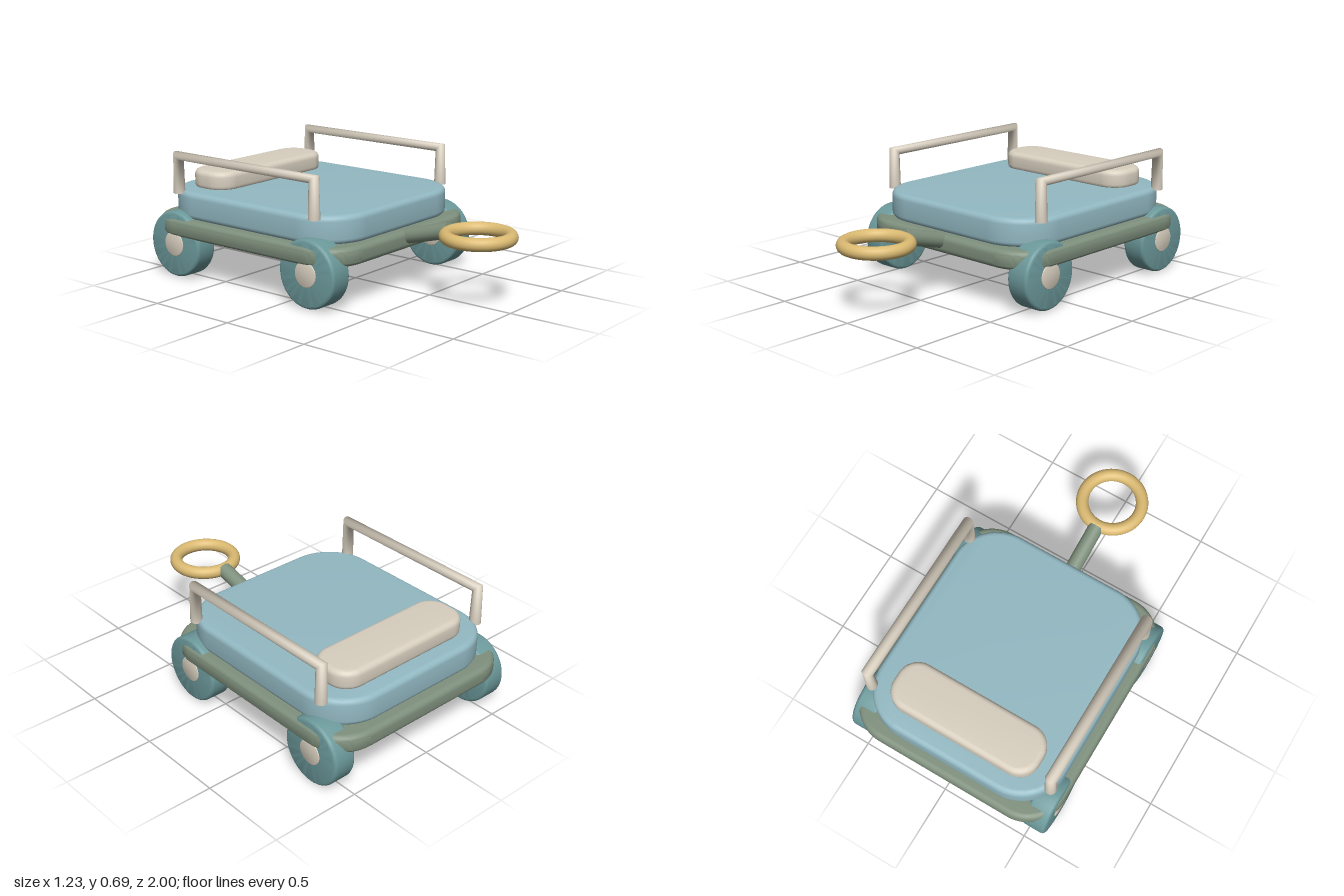
import * as THREE from 'three';
import { toCreasedNormals } from 'three/addons/utils/BufferGeometryUtils.js';

const mat = (name, color) => {
  const m = new THREE.MeshStandardMaterial({ color });
  m.name = name;
  return m;
};

// Slab with rounded corners in plan and soft upper and lower edges
function slab(x, z0, z1, y0, y1, r, b) {
  const w = x - b, d = (z1 - z0) / 2 - b, c = r - b;
  const s = new THREE.Shape();
  s.moveTo(w, -d + c);
  s.absarc(w - c, d - c, c, 0, Math.PI / 2);
  s.absarc(-w + c, d - c, c, Math.PI / 2, Math.PI);
  s.absarc(-w + c, -d + c, c, Math.PI, Math.PI * 1.5);
  s.absarc(w - c, -d + c, c, Math.PI * 1.5, Math.PI * 2);
  const g = new THREE.ExtrudeGeometry(s, {
    depth: y1 - y0 - 2 * b, bevelThickness: b, bevelSize: b, bevelSegments: 5, curveSegments: 12,
  });
  g.rotateX(-Math.PI / 2).translate(0, y0 + b, (z0 + z1) / 2);
  return toCreasedNormals(g, 0.6);
}

// Disc with rounded rims, axis along x
function disc(radius, width, b, segments = 48) {
  const h = width / 2, pts = [new THREE.Vector2(0, -h)];
  for (let i = 0; i <= 10; i++) {
    const a = -Math.PI / 2 + Math.PI * i / 10;
    const side = i < 5 ? -1 : 1;
    if (i === 5) pts.push(new THREE.Vector2(radius, -h + b));
    pts.push(new THREE.Vector2(radius - b + b * Math.cos(a), side * (h - b) + b * Math.sin(a)));
  }
  pts.push(new THREE.Vector2(0, h));
  const g = new THREE.LatheGeometry(pts, segments).rotateZ(Math.PI / 2);
  return toCreasedNormals(g, 0.6);
}

// Path with one ring per corner, the corner rings tilted halfway
class BentPath extends THREE.Curve {
  constructor(points) { super(); this.points = points; }
  index(t) { return Math.round(t * (this.points.length - 1)); }
  getPointAt(t, target = new THREE.Vector3()) { return target.copy(this.points[this.index(t)]); }
  getTangentAt(t, target = new THREE.Vector3()) {
    const p = this.points, i = this.index(t);
    target.set(0, 0, 0);
    if (i > 0) target.add(p[i].clone().sub(p[i - 1]).normalize());
    if (i < p.length - 1) target.add(p[i + 1].clone().sub(p[i]).normalize());
    return target.normalize();
  }
}

export function createModel() {
  const model = new THREE.Group();
  model.name = 'pullCart';
  const blue = mat('paleBlue', 0x93b9c3);
  const teal = mat('teal', 0x6c999b);
  const green = mat('sageGreen', 0x7f907d);
  const cream = mat('cream', 0xd8cfbf);
  const gold = mat('gold', 0xdbba72);

  const add = (name, geometry, material, x = 0, y = 0, z = 0, parent = model) => {
    const m = new THREE.Mesh(geometry, material);
    m.name = name;
    m.position.set(x, y, z);
    parent.add(m);
    return m;
  };

  // Chassis, bed and cushion
  add('chassis', slab(0.615, -1, 0.37, 0.23, 0.33, 0.22, 0.03), green);
  add('bed', slab(0.563, -0.942, 0.319, 0.325, 0.477, 0.26, 0.03), blue);
  add('cushion', slab(0.436, -0.848, -0.572, 0.465, 0.573, 0.115, 0.03), cream);

  // Wheels with hubs showing on both faces
  const tyre = disc(0.183, 0.134, 0.02);
  const hub = disc(0.069, 0.144, 0.004, 32);
  for (const side of [1, -1]) {
    for (const [place, z] of [['front', 0.163], ['rear', -0.786]]) {
      const wheel = new THREE.Group();
      wheel.name = place + (side > 0 ? 'LeftWheel' : 'RightWheel');
      wheel.position.set(side * 0.534, 0.184, z);
      model.add(wheel);
      add('tyre', tyre, teal, 0, 0, 0, wheel);
      add('hub', hub, cream, 0, 0.003, 0, wheel);
    }
  }

  // Side rails with closed feet
  const path = [[0.46, 0.172], [0.667, 0.172], [0.667, -0.796], [0.46, -0.796]]
    .map(([y, z]) => new THREE.Vector3(0, y, z));
  const railTube = new THREE.TubeGeometry(new BentPath(path), 3, 0.032, 20);
  const foot = new THREE.CircleGeometry(0.032, 20).rotateX(Math.PI / 2);
  for (const side of [1, -1]) {
    const rail = new THREE.Group();
    rail.name = side > 0 ? 'leftRail' : 'rightRail';
    rail.position.x = side * 0.541;
    model.add(rail);
    add('railTube', railTube, cream, 0, 0, 0, rail);
    for (const z of [0.172, -0.796]) add('railFoot', foot, cream, 0, 0.46, z, rail);
  }

  // Pull bar and ring grip
  const start = new THREE.Vector3(0, 0.285, 0.3), end = new THREE.Vector3(0, 0.37, 0.622);
  const dir = end.clone().sub(start);
  const bar = add('pullBar', new THREE.CylinderGeometry(0.043, 0.043, dir.length(), 24), green);
  bar.position.copy(start).add(end).multiplyScalar(0.5);
  bar.quaternion.setFromUnitVectors(new THREE.Vector3(0, 1, 0), dir.normalize());
  add('ringGrip', new THREE.TorusGeometry(0.167, 0.035, 20, 56).rotateX(Math.PI / 2), gold, 0, 0.367, 0.798);

  return model;
}
